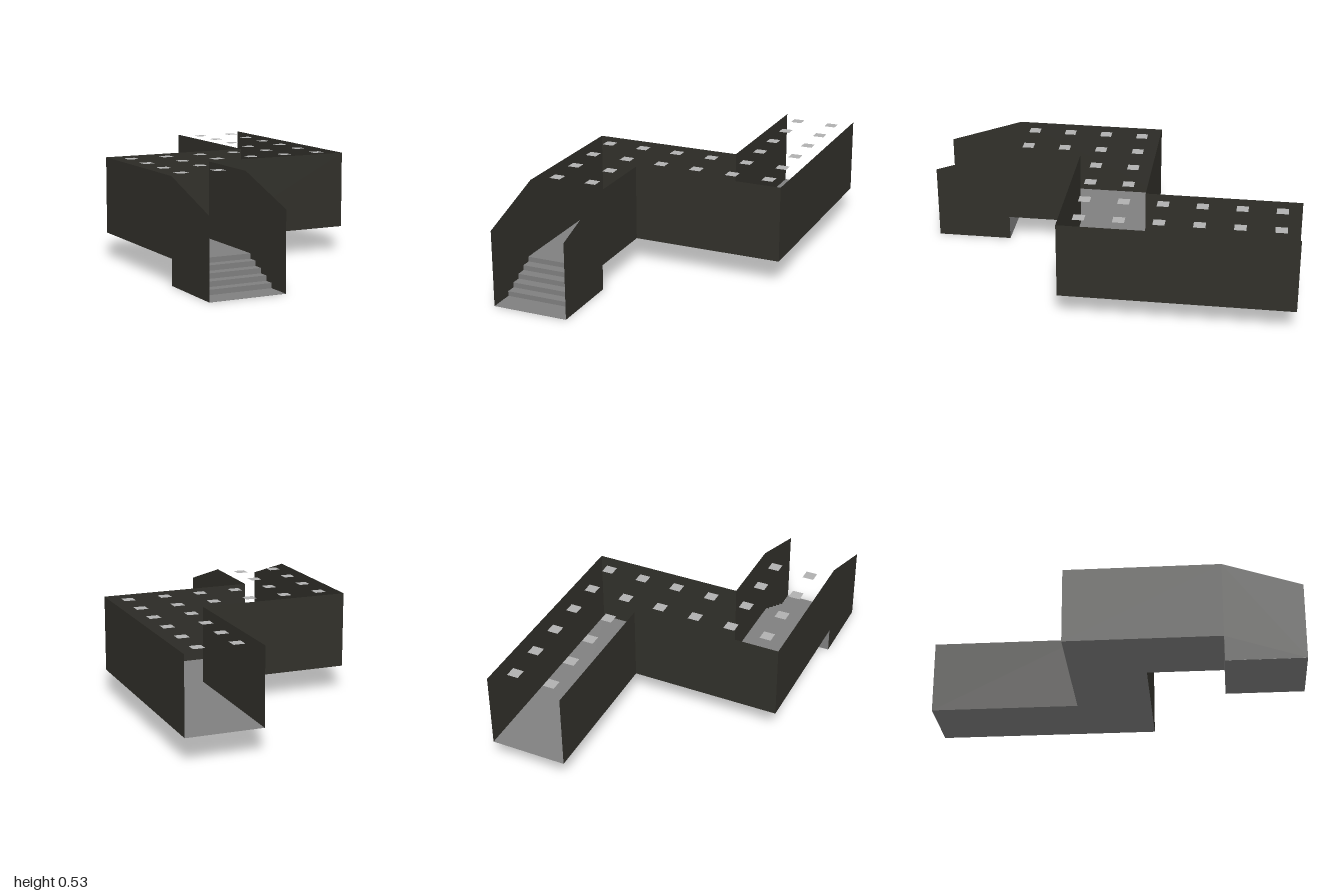
import * as THREE from 'three';

const FLOOR = 0.133, TOP = 0.533;

export function createModel() {
  const group = new THREE.Group();
  group.name = 'corridorWithStairs';

  const material = (name, color) => {
    const m = new THREE.MeshStandardMaterial({ color, side: THREE.DoubleSide });
    m.name = name;
    return m;
  };
  const wallMat = material('darkOliveWall', 0x31302a);
  const floorMat = material('greyFloor', 0x808080);
  const lightMat = material('paleLight', 0xb0b0b0);

  const add = (name, geometry, mat) => {
    const mesh = new THREE.Mesh(geometry, mat);
    mesh.name = name;
    group.add(mesh);
    return mesh;
  };
  const outline = (points) => new THREE.Shape(points.map(([a, b]) => new THREE.Vector2(a, b)));

  // Side wall in the plane x, outlined by (z, y) points
  const sideWall = (name, x, points) =>
    add(name, new THREE.ShapeGeometry(outline(points)).rotateY(-Math.PI / 2).translate(x, 0, 0), wallMat);

  // Stair walls slope down in front and reach the ground beside the steps
  const stairWall = (back) => [
    [back, FLOOR], [0.6, FLOOR], [0.6, 0], [1, 0], [1, 0.4], [0.6, TOP], [back, TOP],
  ];
  sideWall('rightStairWall', -0.6, stairWall(-0.2));
  sideWall('leftStairWall', -0.2, stairWall(0.2));

  // Straight walls of the rear hall
  const rect = (z0, z1) => [[z0, FLOOR], [z1, FLOOR], [z1, TOP], [z0, TOP]];
  sideWall('rightHallWall', 0.2, rect(-1, -0.2));
  sideWall('leftHallWall', 0.6, rect(-1, 0.2));

  // Cross walls of the middle passage
  for (const [name, x, z] of [['backCrossWall', -0.2, -0.2], ['frontCrossWall', 0.2, 0.2]]) {
    add(name, new THREE.PlaneGeometry(0.8, TOP - FLOOR), wallMat).position.set(x, (FLOOR + TOP) / 2, z);
  }

  // Z-shaped floor, outlined by (x, z) points
  const plan = [
    [-0.6, 0.6], [-0.2, 0.6], [-0.2, 0.2], [0.6, 0.2],
    [0.6, -1], [0.2, -1], [0.2, -0.2], [-0.6, -0.2],
  ].map(([x, z]) => [x, -z]);
  add('floor', new THREE.ShapeGeometry(outline(plan)).rotateX(-Math.PI / 2).translate(0, FLOOR, 0), floorMat);

  // Five steps above a flat landing, as one (z, y) profile
  const steps = 5, run = 0.0533, rise = FLOOR / steps;
  const profile = [[0.6, 0], [1, 0], [1, 0.001], [0.6 + steps * run, 0.001]];
  for (let i = 1; i <= steps; i++) {
    profile.push([0.6 + (steps - i + 1) * run, i * rise], [0.6 + (steps - i) * run, i * rise]);
  }
  const stairs = new THREE.ExtrudeGeometry(outline(profile), { depth: 0.398, bevelEnabled: false });
  add('stairs', stairs.rotateY(-Math.PI / 2).translate(-0.201, 0, 0), floorMat);

  // Square ceiling lights on a 0.2 grid, two abreast along the passage
  const lightGeo = new THREE.PlaneGeometry(0.06, 0.06).rotateX(-Math.PI / 2);
  for (let i = 0; i < 6; i++) {
    for (let j = 0; j < 8; j++) {
      const x = -0.5 + i * 0.2, z = -0.9 + j * 0.2;
      const inPassage = Math.abs(z) < 0.2;
      const inHall = x > 0.2 && z < 0.2;
      const nearStairs = x < -0.2 && z > -0.2;
      if (inPassage || inHall || nearStairs) {
        add('ceilingLight', lightGeo, lightMat).position.set(x, TOP - 0.002, z);
      }
    }
  }
  return group;
}
